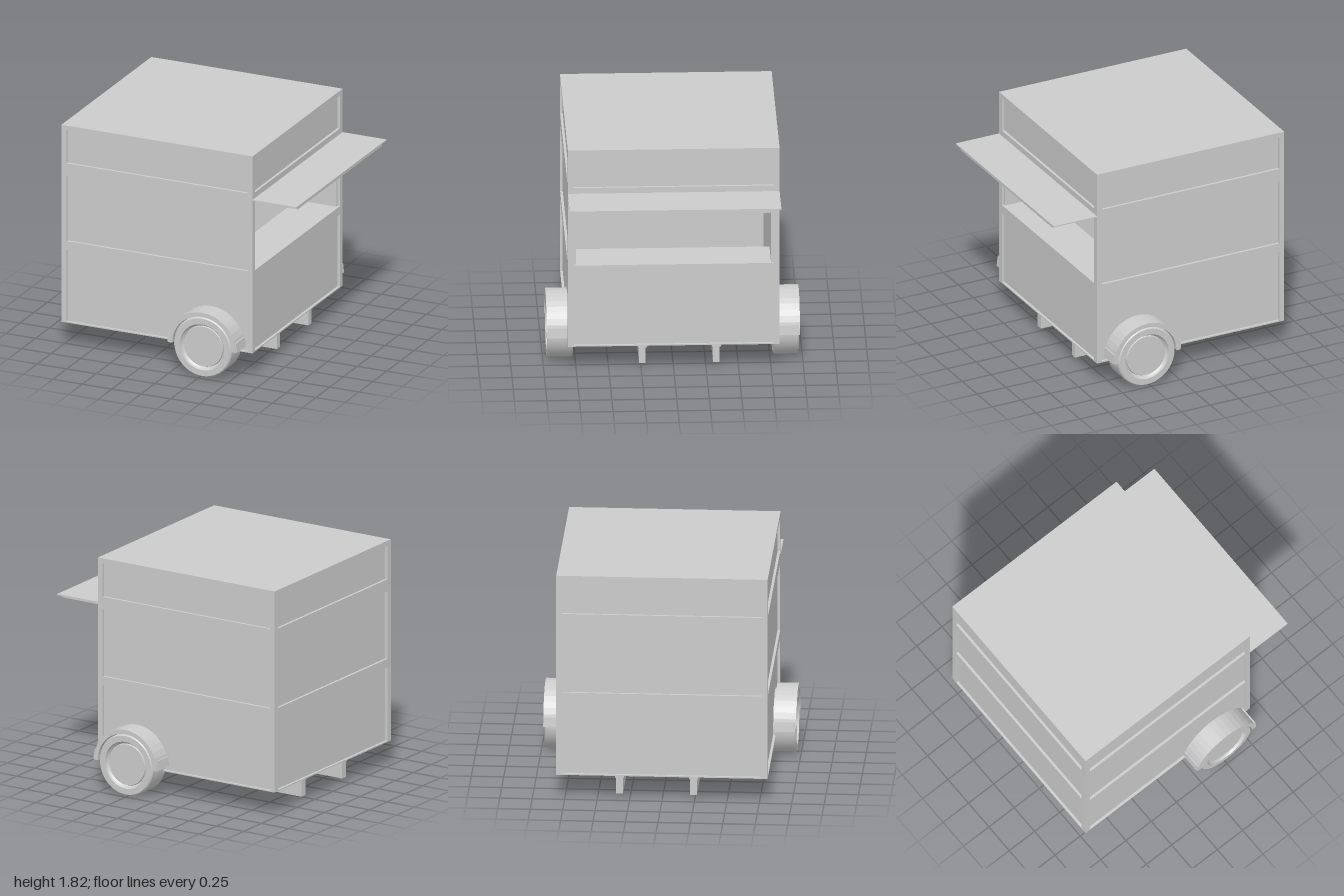
import * as THREE from 'three';

const material = new THREE.MeshStandardMaterial({ color: 0xcccccc, flatShading: true });
const smooth = new THREE.MeshStandardMaterial({ color: 0xcccccc });

// Body limits
const X0 = -1, X1 = 0.625, Z = 0.815, Y0 = 0.2, Y1 = 1.8, INSET = 0.02;

function add(parent, name, geometry, mat = material) {
  const mesh = new THREE.Mesh(geometry, mat);
  mesh.name = name;
  parent.add(mesh);
  return mesh;
}

// Box given by its min and max on each axis
function block(parent, name, x0, x1, y0, y1, z0, z1) {
  const mesh = add(parent, name, new THREE.BoxGeometry(x1 - x0, y1 - y0, z1 - z0));
  mesh.position.set((x0 + x1) / 2, (y0 + y1) / 2, (z0 + z1) / 2);
  return mesh;
}

// Flat frame with rectangular holes, extruded along +z
function frame(halfWidth, holeHalf, bands) {
  const rect = (Type, w, a, b) => new Type([[-w, a], [w, a], [w, b], [-w, b]].map(p => new THREE.Vector2(...p)));
  const shape = rect(THREE.Shape, halfWidth, Y0, Y1);
  for (const [a, b] of bands) shape.holes.push(rect(THREE.Path, holeHalf, a, b));
  return new THREE.ExtrudeGeometry(shape, { depth: INSET, bevelEnabled: false });
}

function createBody(group) {
  const cx = (X0 + X1) / 2, halfX = (X1 - X0) / 2;
  const bands = [[0.21, 0.8], [0.87, 1.41], [1.51, 1.78]];
  const hatchBands = [[0.21, 0.8], [0.87, 1.45], [1.51, 1.78]];

  block(group, 'roof', X0, X1, Y1, 1.82, -Z, Z);
  block(group, 'floor', X0 + INSET, X1 - INSET, Y0, 0.23, -Z + INSET, Z - INSET);

  // Front and back walls with recessed panels
  for (const s of [1, -1]) {
    const f = add(group, s > 0 ? 'frontFrame' : 'backFrame', frame(halfX, halfX - 0.043, bands));
    f.position.set(cx, 0, s * (Z - INSET));
    if (s < 0) f.rotation.y = Math.PI;
    const wall = block(group, s > 0 ? 'frontPanels' : 'backPanels', X0 + INSET, X1 - INSET, Y0, Y1, 0.75, Z - INSET);
    wall.position.z *= s;
  }

  // Closed end wall
  const zi = Z - INSET;
  const end = add(group, 'closedEndFrame', frame(zi, 0.767, bands));
  end.position.x = X0 + INSET;
  end.rotation.y = -Math.PI / 2;
  block(group, 'closedEndPanels', X0 + INSET, X0 + 0.06, Y0, Y1, -0.75, 0.75);

  // Serving end wall, open in the middle band
  const serving = add(group, 'servingFrame', frame(zi, 0.767, hatchBands));
  serving.position.x = X1 - INSET;
  serving.rotation.y = Math.PI / 2;
  block(group, 'servingLowerPanel', 0.57, X1 - INSET, Y0, 0.868, -0.75, 0.75);
  block(group, 'servingUpperPanel', 0.57, X1 - INSET, 1.452, Y1, -0.75, 0.75);
  block(group, 'counter', 0.27, 0.575, 0.83, 0.868, -0.75, 0.75);
}

function createAwning(group) {
  block(group, 'awningPlate', X1, 1, 1.453, 1.463, -Z, Z);
  block(group, 'awningPanel', 0.643, 0.985, 1.425, 1.453, -0.765, 0.765);
}

function createWheel(name) {
  const wheel = new THREE.Group();
  wheel.name = name;

  // Tyre with stepped rim, turned about its axle
  const profile = [[0, 0], [0.225, 0], [0.245, 0.012], [0.245, 0.188], [0.235, 0.2],
    [0.188, 0.2], [0.182, 0.185], [0.168, 0.17], [0.163, 0.182], [0, 0.182]];
  // Repeated points keep the edges crisp
  const points = profile.flatMap(p => [new THREE.Vector2(...p), new THREE.Vector2(...p)]).slice(1, -1);
  const tyre = add(wheel, 'tyre', new THREE.LatheGeometry(points, 40), smooth);
  tyre.rotation.x = Math.PI / 2;

  // Arched mudguard with thicker feet
  const arc = (r, n, from, to) => Array.from({ length: n + 1 }, (_, i) => {
    const a = from + (to - from) * i / n;
    return new THREE.Vector2(Math.cos(a) * r, Math.sin(a) * r);
  });
  const guard = new THREE.Shape([...arc(0.287, 18, 0, Math.PI), ...arc(0.252, 18, Math.PI, 0)]);
  add(wheel, 'mudguard', new THREE.ExtrudeGeometry(guard, { depth: 0.165, bevelEnabled: false })).position.z = 0.04;
  for (const s of [1, -1]) {
    const foot = block(wheel, 'mudguardFoot', 0.25, 0.292, 0, 0.075, 0.04, 0.198);
    foot.position.x *= s;
    foot.rotation.z = s * 0.12;
  }
  return wheel;
}

export function createModel() {
  const group = new THREE.Group();
  group.name = 'servingCart';
  createBody(group);
  createAwning(group);

  // Wheels on both long sides
  for (const s of [1, -1]) {
    const wheel = createWheel(s > 0 ? 'frontWheel' : 'backWheel');
    wheel.position.set(0.27, 0.246, s * 0.77);
    if (s < 0) wheel.rotation.y = Math.PI;
    group.add(wheel);
  }

  // Skid rails under the floor
  for (const z of [0.24, -0.33]) {
    block(group, 'skidFlange', -0.955, 0.582, 0.17, 0.2, z - 0.034, z + 0.034);
    block(group, 'skidRail', -0.947, 0.575, 0.04, 0.17, z - 0.026, z + 0.026);
  }
  return group;
}
